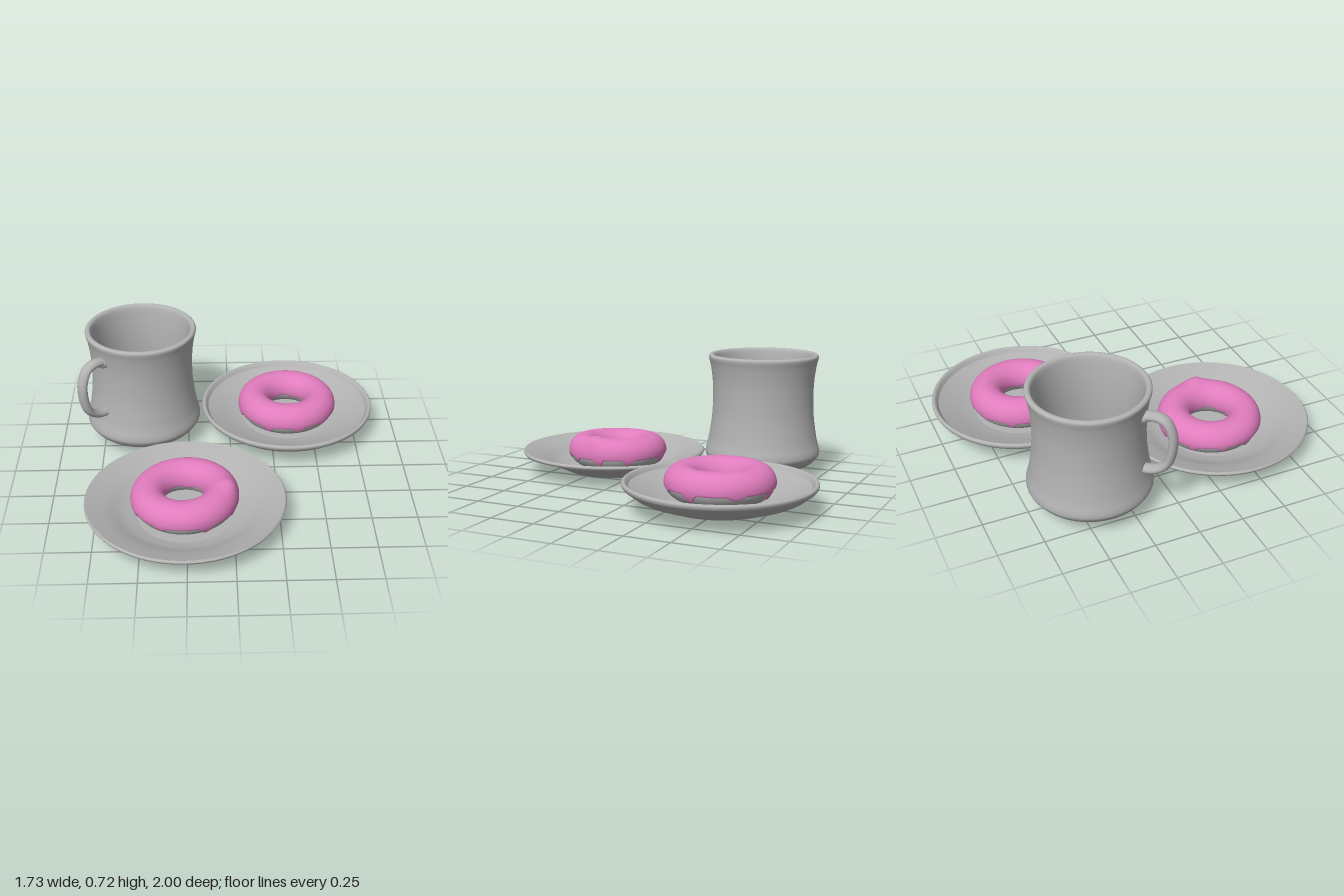
import * as THREE from 'three';
import { ParametricGeometry } from 'three/addons/geometries/ParametricGeometry.js';

const ceramic = new THREE.MeshStandardMaterial({ color: 0xb2b2b2 });
ceramic.name = 'grey ceramic';
const dough = new THREE.MeshStandardMaterial({ color: 0xb0b0b0 });
dough.name = 'grey dough';
const pink = new THREE.MeshStandardMaterial({ color: 0xe07cbd, side: THREE.DoubleSide });
pink.name = 'pink icing';

function add(parent, name, geometry, material) {
  const mesh = new THREE.Mesh(geometry, material);
  mesh.name = name;
  parent.add(mesh);
  return mesh;
}

// Turned shape: each section is a smooth curve, with a crease where sections meet
function turned(sections) {
  const points = [];
  for (const s of sections) {
    const v = s.map(([r, y]) => new THREE.Vector2(r, y));
    points.push(...(v.length > 2 ? new THREE.SplineCurve(v).getPoints(v.length * 4) : v));
  }
  return new THREE.LatheGeometry(points, 72);
}

function makeMug() {
  const mug = new THREE.Group();
  mug.name = 'mug';
  add(mug, 'mugBody', turned([
    [[0, 0.018], [0.19, 0.018]],
    [[0.19, 0.018], [0.2, 0.024], [0.2, 0.037]],
    [[0.2, 0.037], [0.285, 0.072], [0.328, 0.115], [0.335, 0.15], [0.318, 0.22], [0.3, 0.34],
      [0.294, 0.45], [0.297, 0.56], [0.309, 0.65], [0.32, 0.695], [0.317, 0.71], [0.305, 0.716],
      [0.29, 0.708], [0.28, 0.67], [0.268, 0.57], [0.264, 0.45], [0.27, 0.3], [0.278, 0.2],
      [0.255, 0.13], [0.17, 0.085]],
    [[0.17, 0.085], [0, 0.085]],
  ]), ceramic);

  // Handle: a bent strap, wider than it is thick
  const path = new THREE.CatmullRomCurve3([
    [0.28, 0.6], [0.35, 0.617], [0.41, 0.6], [0.448, 0.53], [0.45, 0.43], [0.422, 0.34],
    [0.365, 0.295], [0.285, 0.278],
  ].map(([x, y]) => new THREE.Vector3(x, y, 0)));
  const handle = add(mug, 'mugHandle', new THREE.TubeGeometry(path, 48, 0.024, 16), ceramic);
  handle.scale.z = 1.45;
  handle.rotation.y = -Math.PI * 0.75;

  // Flared joint where the top of the handle meets the body
  const joint = add(mug, 'handleJoint', new THREE.SphereGeometry(0.04, 20, 14), ceramic);
  joint.scale.set(1, 0.85, 1);
  joint.position.set(-0.207, 0.602, 0.207);
  return mug;
}

// Icing shell over the top of a ring, with drips down the outside
function icingGeometry(ring, tube, phase, lump) {
  return new ParametricGeometry((u, v, target) => {
    const a = u * Math.PI * 2;
    const wave = Math.max(0, Math.sin(9 * a + 1.2 * Math.sin(2 * a + phase) + phase));
    const drip = 0.25 + 0.6 * wave ** 3 * (0.7 + 0.3 * Math.sin(4 * a + phase));
    const start = -drip, end = Math.PI + 0.3 + 0.1 * Math.sin(5 * a + phase);
    const phi = start + (end - start) * v;
    // Edges round down into the dough
    const edge = Math.min(1, Math.min(v, 1 - v) * 22);
    let r = tube - 0.012 * (1 - Math.sqrt(edge * (2 - edge)));
    const da = Math.atan2(Math.sin(a + 0.12), Math.cos(a + 0.12));
    r += lump * (Math.exp(-((da / 0.22) ** 2) - ((phi - 1.15) / 0.5) ** 2)
      + 0.35 * Math.cos(a) * Math.max(0, Math.sin(phi)));
    const d = ring + r * Math.cos(phi);
    target.set(d * Math.cos(a), r * Math.sin(phi), -d * Math.sin(a));
  }, 180, 40);
}

function makeDoughnut(phase, lump) {
  const doughnut = new THREE.Group();
  doughnut.name = 'doughnut';
  const base = add(doughnut, 'doughRing', new THREE.TorusGeometry(0.2, 0.087, 24, 72), dough);
  base.rotation.x = -Math.PI / 2;
  add(doughnut, 'icing', icingGeometry(0.2, 0.094, phase, lump), pink);
  return doughnut;
}

export function createModel() {
  const model = new THREE.Group();
  model.name = 'breakfastSet';

  const mug = makeMug();
  mug.position.set(-0.515, 0, -0.405);
  model.add(mug);

  // Shallow flared plate
  const frontPlate = add(model, 'frontPlate', turned([
    [[0, 0], [0.27, 0]],
    [[0.27, 0], [0.29, 0.008], [0.36, 0.042], [0.45, 0.078], [0.54, 0.108]],
    [[0.54, 0.108], [0.546, 0.12], [0.538, 0.131]],
    [[0.538, 0.131], [0.43, 0.093], [0.345, 0.052], [0.27, 0.03]],
    [[0.27, 0.03], [0, 0.03]],
  ]), ceramic);
  frontPlate.position.set(-0.26, 0, 0.452);

  // Plate with a foot ring and a raised lip
  const backPlate = add(model, 'backPlate', turned([
    [[0, 0.028], [0.255, 0.028]],
    [[0.255, 0.028], [0.262, 0.018], [0.285, 0.018], [0.295, 0.026]],
    [[0.295, 0.026], [0.37, 0.047], [0.44, 0.075], [0.485, 0.108]],
    [[0.485, 0.108], [0.508, 0.126], [0.515, 0.145], [0.507, 0.156], [0.494, 0.152], [0.478, 0.13]],
    [[0.478, 0.13], [0.42, 0.106], [0.34, 0.075], [0.27, 0.055]],
    [[0.27, 0.055], [0, 0.055]],
  ]), ceramic);
  backPlate.position.set(0.35, 0, -0.485);

  const frontDoughnut = makeDoughnut(0.4, 0.02);
  frontDoughnut.position.set(-0.265, 0.121, 0.43);
  const backDoughnut = makeDoughnut(2.1, 0);
  backDoughnut.position.set(0.35, 0.148, -0.485);
  model.add(frontDoughnut, backDoughnut);
  return model;
}
